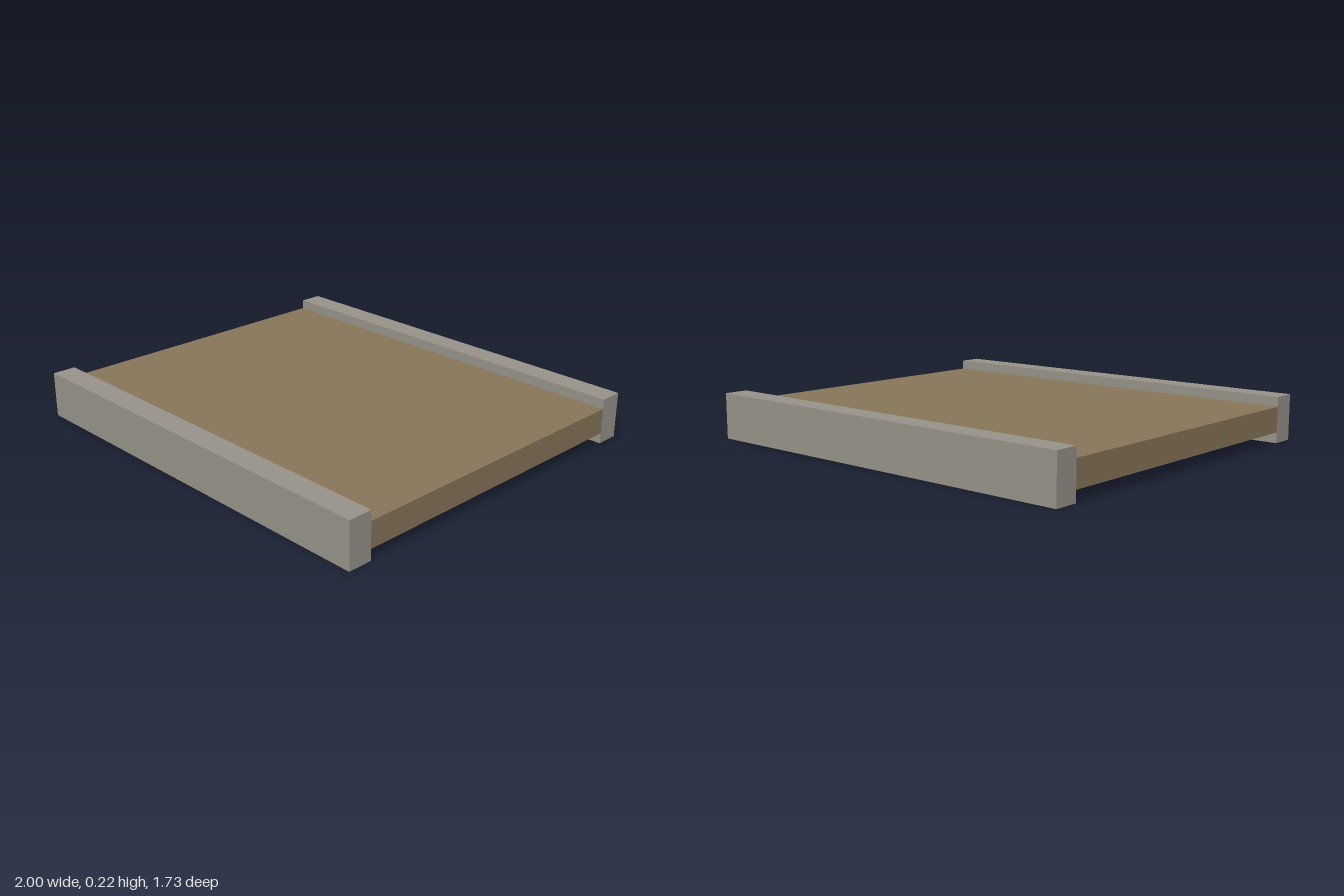
import * as THREE from 'three';

export function createModel() {
  const group = new THREE.Group();
  const stone = new THREE.MeshStandardMaterial({ name: 'grey stone', color: 0x98948a });
  const earth = new THREE.MeshStandardMaterial({ name: 'brown deck', color: 0x88775b });

  const addBox = (name, material, [w, h, d], [x, y, z]) => {
    const mesh = new THREE.Mesh(new THREE.BoxGeometry(w, h, d), material);
    mesh.name = name;
    mesh.position.set(x, y, z);
    group.add(mesh);
  };

  // Flat slab spanning between the two kerbs
  addBox('deck', earth, [2, 0.12, 1.5], [0, 0.111, 0]);

  // Taller kerb beams along the front and back edges
  for (const [name, side] of [['frontKerb', 1], ['backKerb', -1]]) {
    addBox(name, stone, [2, 0.217, 0.114], [0, 0.1085, side * 0.807]);
  }
  return group;
}
